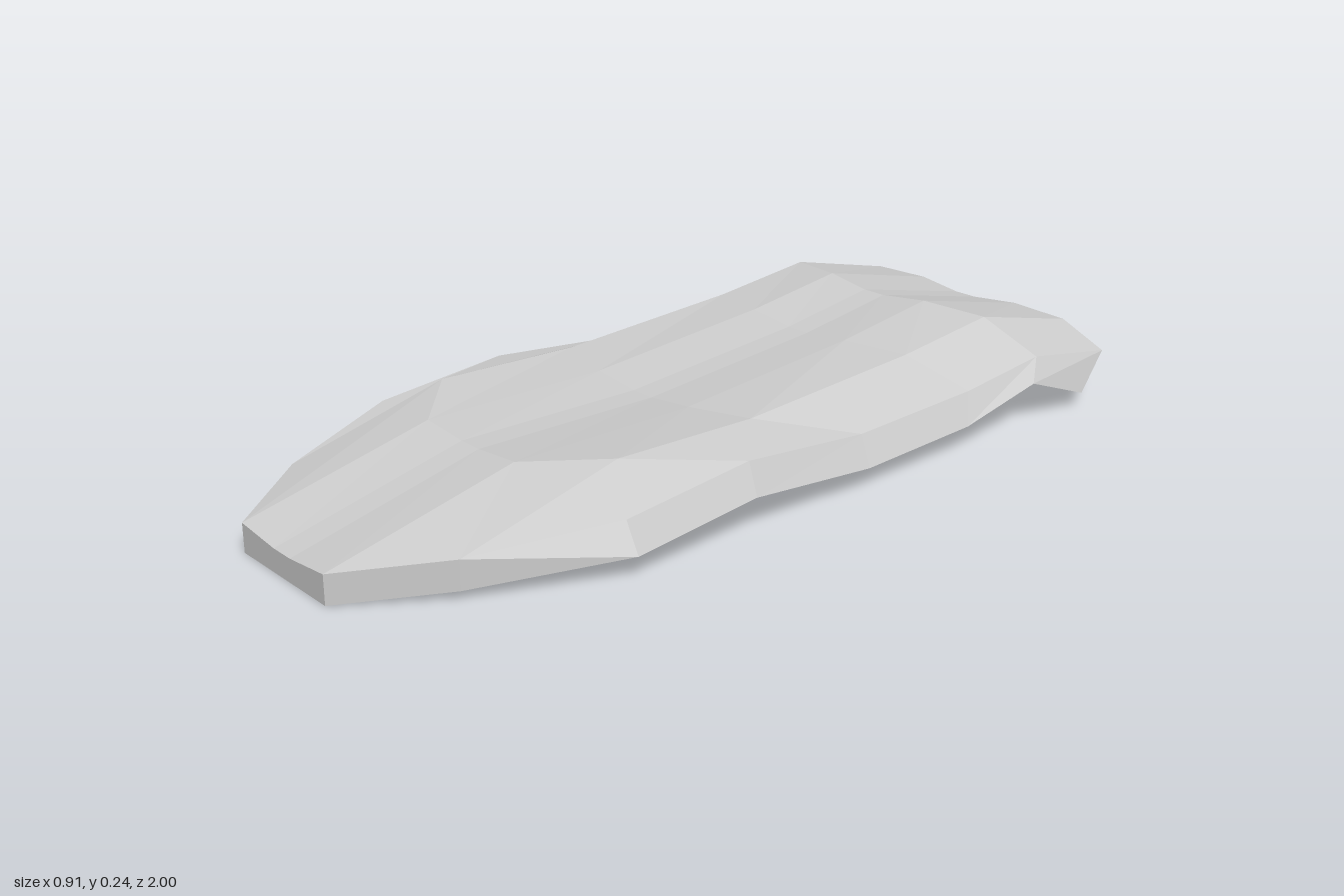
import * as THREE from 'three';

// Half-width columns, from the centre line to the edge
const TOP_X = [0.03, 0.15, 0.3, 0.42];
const BOTTOM_X = [0.03, 0.15, 0.3, 0.455];

// Cross-sections from back to front; each column is [z, y]
const TOP = [
  [[-0.99, 0.15], [-1, 0.16], [-1, 0.155], [-1, 0.105]],
  [[-0.64, 0.228], [-0.65, 0.24], [-0.69, 0.228], [-0.74, 0.15]],
  [[-0.38, 0.19], [-0.38, 0.203], [-0.42, 0.198], [-0.5, 0.125]],
  [[0.1, 0.15], [0.1, 0.163], [0.06, 0.17], [-0.15, 0.115]],
  [[0.56, 0.155], [0.56, 0.165], [0.42, 0.18], [0.18, 0.146]],
  [[1, 0.053], [1, 0.065], [0.8, 0.085], [0.5, 0.115]],
];
const BOTTOM = [
  [[-0.88, 0.035], [-0.88, 0.035], [-0.88, 0.035], [-0.88, 0.035]],
  [[-0.64, 0.11], [-0.64, 0.11], [-0.66, 0.11], [-0.69, 0.105]],
  [[-0.38, 0.065], [-0.38, 0.065], [-0.41, 0.065], [-0.46, 0.06]],
  [[0.1, 0.048], [0.1, 0.048], [0.06, 0.05], [-0.14, 0.05]],
  [[0.56, 0.046], [0.56, 0.046], [0.42, 0.052], [0.19, 0.08]],
  [[1, 0], [1, 0], [0.8, 0.02], [0.5, 0.05]],
];

// Mirrors a half row into a full one running from -x to +x
function fullRow(row, xs) {
  const half = row.map(([z, y], i) => [xs[i], y, z]);
  const mirrored = half.map(([x, y, z]) => [-x, y, z]).reverse();
  return [...mirrored, ...half];
}

export function createModel() {
  const tops = TOP.map((row) => fullRow(row, TOP_X));
  const bottoms = BOTTOM.map((row) => fullRow(row, BOTTOM_X));
  const positions = [];
  const quad = (a, b, c, d) => positions.push(...a, ...b, ...c, ...a, ...c, ...d);

  // Padded body: closed loops joined from back to front
  const loops = tops.map((top, r) => [...top, ...[...bottoms[r]].reverse()]);
  for (let r = 0; r < loops.length - 1; r++) {
    const back = loops[r];
    const front = loops[r + 1];
    for (let i = 0; i < back.length; i++) {
      const j = (i + 1) % back.length;
      quad(back[i], front[i], front[j], back[j]);
    }
  }

  // Front rim and undercut back lip
  const last = loops.length - 1;
  for (let i = 0; i < tops[0].length - 1; i++) {
    quad(tops[last][i], bottoms[last][i], bottoms[last][i + 1], tops[last][i + 1]);
    quad(tops[0][i + 1], bottoms[0][i + 1], bottoms[0][i], tops[0][i]);
  }

  const geometry = new THREE.BufferGeometry();
  geometry.setAttribute('position', new THREE.Float32BufferAttribute(positions, 3));
  geometry.computeVertexNormals();

  const material = new THREE.MeshStandardMaterial({ color: 0xcccccc, flatShading: true });
  const body = new THREE.Mesh(geometry, material);
  body.name = 'curvedPlate';

  const group = new THREE.Group();
  group.name = 'contouredPlate';
  group.add(body);
  return group;
}
